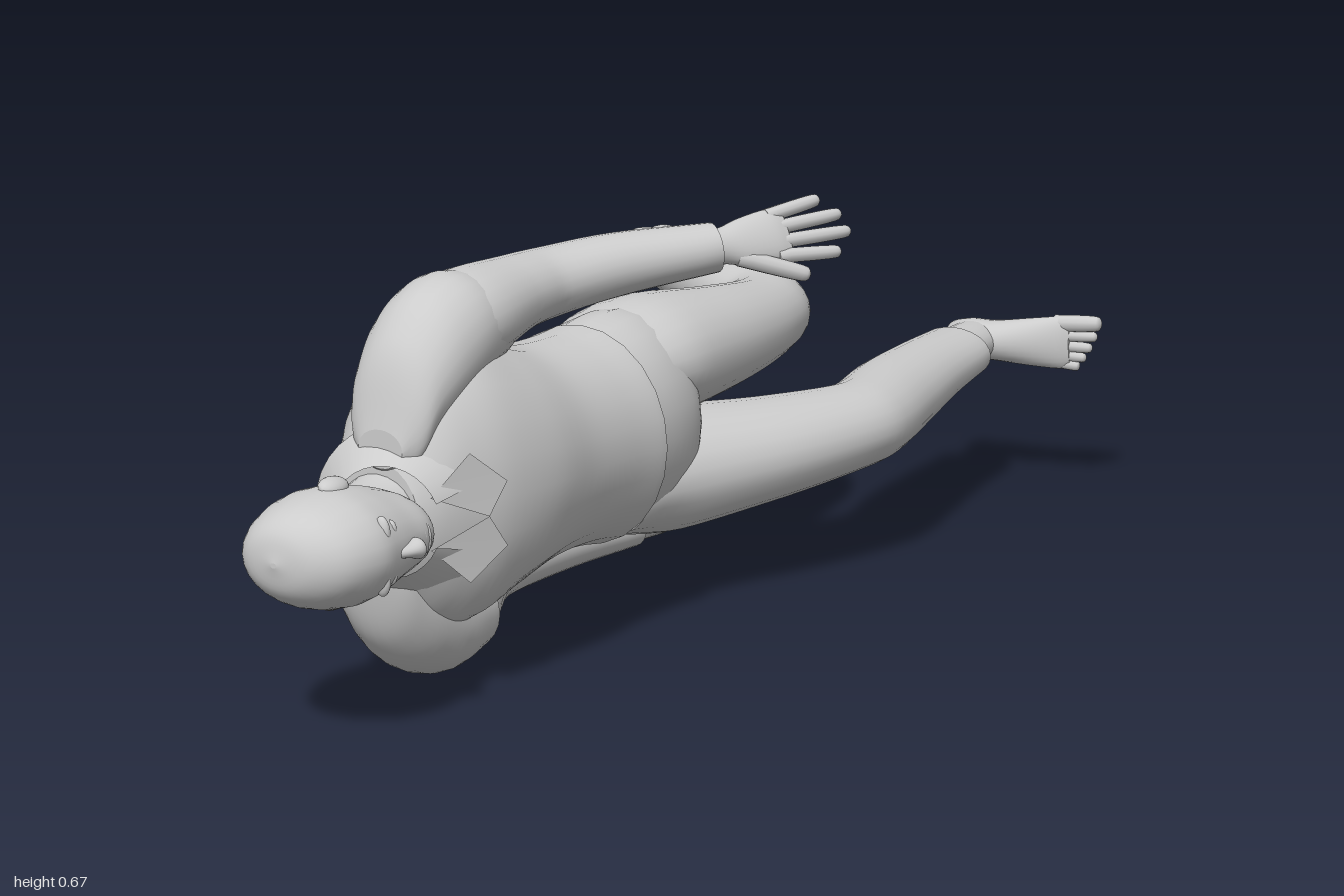
import * as THREE from 'three';

const V = (x, y, z) => new THREE.Vector3(x, y, z);
const grey = new THREE.MeshStandardMaterial({ color: 0xcccccc });
grey.name = 'light grey';
grey.side = THREE.DoubleSide;

// Smooth skin through elliptical sections [x, y, z, radius along y, other radius].
// With a fixed axis all rings stay parallel, otherwise they follow the path.
function loft(sections, axis = null, steps = 5, sides = 24) {
  const path = new THREE.CatmullRomCurve3(sections.map(s => V(s[0], s[1], s[2])), false, 'catmullrom');
  const size = new THREE.CatmullRomCurve3(sections.map(s => V(s[3], s[4], 0)), false, 'catmullrom');
  const n = (sections.length - 1) * steps, pos = [], index = [];
  const ring = i => {
    const c = path.getPoint(i / n), r = size.getPoint(i / n);
    const t = axis || path.getTangent(i / n);
    const u = V(0, 1, 0).addScaledVector(t, -t.y).normalize(), v = V().crossVectors(t, u);
    for (let j = 0; j < sides; j++) {
      const a = j / sides * Math.PI * 2;
      const p = c.clone().addScaledVector(u, Math.cos(a) * r.x).addScaledVector(v, Math.sin(a) * r.y);
      pos.push(p.x, p.y, p.z);
    }
    return c;
  };
  for (let i = 0; i <= n; i++) ring(i);
  for (let i = 0; i < n; i++) for (let j = 0; j < sides; j++) {
    const k = (j + 1) % sides, a = i * sides + j, b = i * sides + k;
    index.push(a, b, a + sides, b, b + sides, a + sides);
  }
  // end caps on their own vertices, so the rims stay crisp
  for (const end of [0, n]) {
    const base = pos.length / 3, c = ring(end);
    pos.push(c.x, c.y, c.z);
    for (let j = 0; j < sides; j++) {
      const a = base + j, b = base + (j + 1) % sides;
      index.push(...(end ? [a, b, base + sides] : [b, a, base + sides]));
    }
  }
  const g = new THREE.BufferGeometry();
  g.setAttribute('position', new THREE.Float32BufferAttribute(pos, 3));
  g.setIndex(index);
  g.computeVertexNormals();
  return g;
}

function add(parent, name, geometry) {
  const m = new THREE.Mesh(geometry, grey);
  m.name = name;
  parent.add(m);
  return m;
}

function ball(parent, name, p, s) {
  const m = add(parent, name, new THREE.SphereGeometry(1, 16, 12));
  m.position.set(...p);
  m.scale.set(...s);
  return m;
}

// Round-ended finger or toe
function digit(a, b, r) {
  const at = (t, k) => [...a.map((v, i) => v + (b[i] - v) * t), r * k, r * k];
  return loft([at(0, 1), at(0.5, 1), at(0.88, 0.9), at(0.97, 0.6), at(1, 0.05)], null, 3, 10);
}

// Group whose local x runs along dir and local y along side
function placed(name, origin, dir, side, scale) {
  const g = new THREE.Group(), X = V(...dir).normalize();
  const Y = V(...side).addScaledVector(X, -V(...side).dot(X)).normalize();
  g.name = name;
  g.quaternion.setFromRotationMatrix(new THREE.Matrix4().makeBasis(X, Y, V().crossVectors(X, Y)));
  g.position.set(...origin);
  g.scale.setScalar(scale);
  return g;
}

// Hand: thumb on local -y
function hand(name, origin, dir, side) {
  const g = placed(name, origin, dir, side, 1.05);
  add(g, 'palm', loft([[-0.03, 0, 0, 0.03, 0.026], [0.01, 0, 0, 0.028, 0.022], [0.05, 0, 0, 0.038, 0.02],
    [0.1, 0.003, 0, 0.042, 0.016], [0.125, 0.003, 0, 0.036, 0.01]], V(1, 0, 0)));
  [[-0.031, 0.205], [-0.009, 0.232], [0.013, 0.225], [0.034, 0.195]].forEach(([y, len]) =>
    add(g, 'finger', digit([0.1, y, 0], [len, y * 1.35, 0.004], 0.0115)));
  add(g, 'thumb', digit([0.035, -0.022, 0], [0.14, -0.072, 0.008], 0.014));
  return g;
}

// Foot: heel at the origin, sole on local z = 0, big toe on the s side of y
function foot(name, origin, dir, s, scale) {
  const g = placed(name, origin, dir, [0, 1, 0], scale);
  add(g, 'footBody', loft([[0, 0, 0.035, 0.004, 0.008], [0.008, 0, 0.035, 0.025, 0.026], [0.05, 0, 0.048, 0.037, 0.048],
    [0.1, 0, 0.046, 0.037, 0.046], [0.17, 0, 0.033, 0.045, 0.032], [0.22, 0, 0.02, 0.049, 0.02],
    [0.24, 0, 0.015, 0.042, 0.012]], V(1, 0, 0)));
  add(g, 'ankle', loft([[0.06, 0, 0.03, 0.034, 0.052], [0.065, 0, 0.09, 0.037, 0.052], [0.068, 0, 0.17, 0.038, 0.052]], V(0, 0, 1)));
  [[0.035, 0.3, 0.016], [0.013, 0.292, 0.011], [-0.006, 0.282, 0.0105], [-0.023, 0.27, 0.01], [-0.038, 0.257, 0.01]]
    .forEach(([y, len, r]) => add(g, 'toe', digit([0.21, s * y, 0.016], [len, s * y * 1.15, 0.013], r)));
  return g;
}

export function createModel() {
  const man = new THREE.Group(), down = V(0, 0, -1);
  man.name = 'lyingFigure';

  // Head and face, looking towards +x
  const head = new THREE.Group();
  head.name = 'head';
  man.add(head);
  add(head, 'skull', loft([[0.074, 0.295, 1, 0.004, 0.005], [0.075, 0.295, 0.988, 0.045, 0.06], [0.082, 0.295, 0.955, 0.072, 0.096],
    [0.084, 0.295, 0.9, 0.086, 0.115], [0.083, 0.295, 0.85, 0.085, 0.112], [0.085, 0.295, 0.8, 0.074, 0.102],
    [0.1, 0.295, 0.755, 0.058, 0.08], [0.107, 0.295, 0.73, 0.038, 0.052], [0.107, 0.295, 0.724, 0.004, 0.004]], down));
  add(head, 'nose', loft([[0.186, 0.295, 0.865, 0.006, 0.006], [0.193, 0.295, 0.835, 0.01, 0.014],
    [0.194, 0.295, 0.815, 0.016, 0.017], [0.184, 0.295, 0.803, 0.006, 0.008]], down));
  for (const s of [-1, 1]) {
    ball(head, 'ear', [0.08, 0.295 + s * 0.087, 0.862], [0.019, 0.012, 0.029]).rotation.z = s * -0.35;
    ball(head, 'eye', [0.175, 0.295 + s * 0.034, 0.855], [0.011, 0.015, 0.008]);
    ball(head, 'brow', [0.177, 0.295 + s * 0.034, 0.878], [0.014, 0.026, 0.009]);
  }
  for (const z of [0.776, 0.765]) ball(head, 'lip', [0.174, 0.295, z], [0.01, 0.023, 0.006]);
  add(man, 'neck', loft([[0.06, 0.295, 0.82, 0.055, 0.065], [0.05, 0.297, 0.74, 0.057, 0.063], [0.05, 0.3, 0.66, 0.075, 0.08]], down));

  // Shirt
  add(man, 'shirtBody', loft([[0.05, 0.3, 0.71, 0.08, 0.072], [0.05, 0.31, 0.68, 0.14, 0.1], [0.05, 0.318, 0.635, 0.205, 0.126],
    [0.055, 0.32, 0.57, 0.23, 0.15], [0.06, 0.32, 0.47, 0.2, 0.162], [0.06, 0.315, 0.36, 0.175, 0.158],
    [0.066, 0.313, 0.26, 0.172, 0.157], [0.07, 0.31, 0.185, 0.18, 0.163]], down));
  // shoulders slope from the collar into the sleeves
  for (const [name, s, x] of [['leftShoulder', 1, 0.056], ['rightShoulder', -1, 0.018]]) {
    const at = (dx, dy, z, ry, rx) => [x + dx, 0.32 + s * dy, z, ry, rx];
    add(man, name, loft([at(0, 0.08, 0.712, 0.03, 0.04), at(0, 0.115, 0.69, 0.085, 0.068), at(0, 0.16, 0.66, 0.092, 0.08),
      at(0, 0.197, 0.61, 0.1, 0.09), at(0, 0.228, 0.54, 0.09, 0.092), at(0, 0.234, 0.46, 0.07, 0.08)], down));
  }
  const collarGeo = new THREE.CylinderGeometry(0.086, 0.134, 0.07, 28, 1, true, Math.PI / 2 + 0.4, Math.PI * 2 - 0.8);
  const collar = add(man, 'collar', collarGeo.rotateX(Math.PI / 2));
  collar.position.set(0.07, 0.297, 0.702);
  collar.rotation.y = 0.3;
  for (const s of [-1, 1]) {
    const flap = new THREE.BufferGeometry().setFromPoints([
      V(0.145, 0.297 + s * 0.04, 0.71), V(0.174, 0.297 + s * 0.1, 0.65), V(0.204, 0.297 + s * 0.05, 0.595), V(0.192, 0.297, 0.625)]);
    flap.setIndex(s > 0 ? [0, 2, 1, 0, 3, 2] : [0, 1, 2, 0, 2, 3]);
    flap.computeVertexNormals();
    add(man, 'collarFlap', flap);
  }
  add(man, 'leftSleeve', loft([[0.056, 0.545, 0.58, 0.07, 0.08], [0.06, 0.562, 0.5, 0.074, 0.088],
    [0.064, 0.575, 0.38, 0.06, 0.072], [0.077, 0.58, 0.29, 0.055, 0.066], [0.135, 0.595, 0.18, 0.05, 0.057],
    [0.235, 0.61, 0.05, 0.04, 0.045]]));
  add(man, 'rightSleeve', loft([[0.016, 0.09, 0.58, 0.07, 0.08], [0.005, 0.09, 0.48, 0.069, 0.086],
    [-0.025, 0.095, 0.36, 0.055, 0.065], [-0.032, 0.1, 0.28, 0.05, 0.06], [-0.012, 0.1, 0.12, 0.042, 0.05],
    [0.015, 0.09, -0.05, 0.031, 0.038]]));
  man.add(hand('leftHand', [0.235, 0.61, 0.05], [0.12, 0.016, -0.195], [-0.5, 1, -0.3]));
  man.add(hand('rightHand', [0.015, 0.09, -0.05], [-0.008, -0.04, -0.24], [-1, -0.55, 0]));

  // Trousers
  add(man, 'trouserSeat', loft([[0.07, 0.31, 0.22, 0.168, 0.153], [0.066, 0.312, 0.1, 0.182, 0.152], [0.062, 0.312, 0.02, 0.167, 0.135],
    [0.065, 0.312, -0.025, 0.1, 0.08], [0.065, 0.312, -0.04, 0.01, 0.01]], down));
  add(man, 'leftTrouserLeg', loft([[0.06, 0.4, 0.14, 0.07, 0.12], [0.063, 0.4, 0, 0.1, 0.138], [0.085, 0.398, -0.18, 0.088, 0.105],
    [0.08, 0.397, -0.34, 0.072, 0.085], [0.045, 0.4, -0.435, 0.068, 0.08], [-0.06, 0.405, -0.5, 0.066, 0.07],
    [-0.2, 0.406, -0.61, 0.064, 0.064], [-0.33, 0.402, -0.715, 0.056, 0.054]]));
  add(man, 'rightTrouserLeg', loft([[0.07, 0.215, 0.14, 0.08, 0.12], [0.1, 0.215, 0, 0.1, 0.13], [0.195, 0.225, -0.18, 0.085, 0.113],
    [0.258, 0.234, -0.33, 0.073, 0.094], [0.266, 0.237, -0.41, 0.071, 0.086], [0.24, 0.243, -0.55, 0.068, 0.085],
    [0.222, 0.252, -0.7, 0.058, 0.077], [0.212, 0.26, -0.84, 0.047, 0.072]]));
  man.add(foot('leftFoot', [-0.445, 0.415, -0.765], [0.13, -0.07, -0.21], -1, 0.88));
  man.add(foot('rightFoot', [0.145, 0.265, -0.98], [1, 0.03, -0.03], 1, 0.98));
  return man;
}
